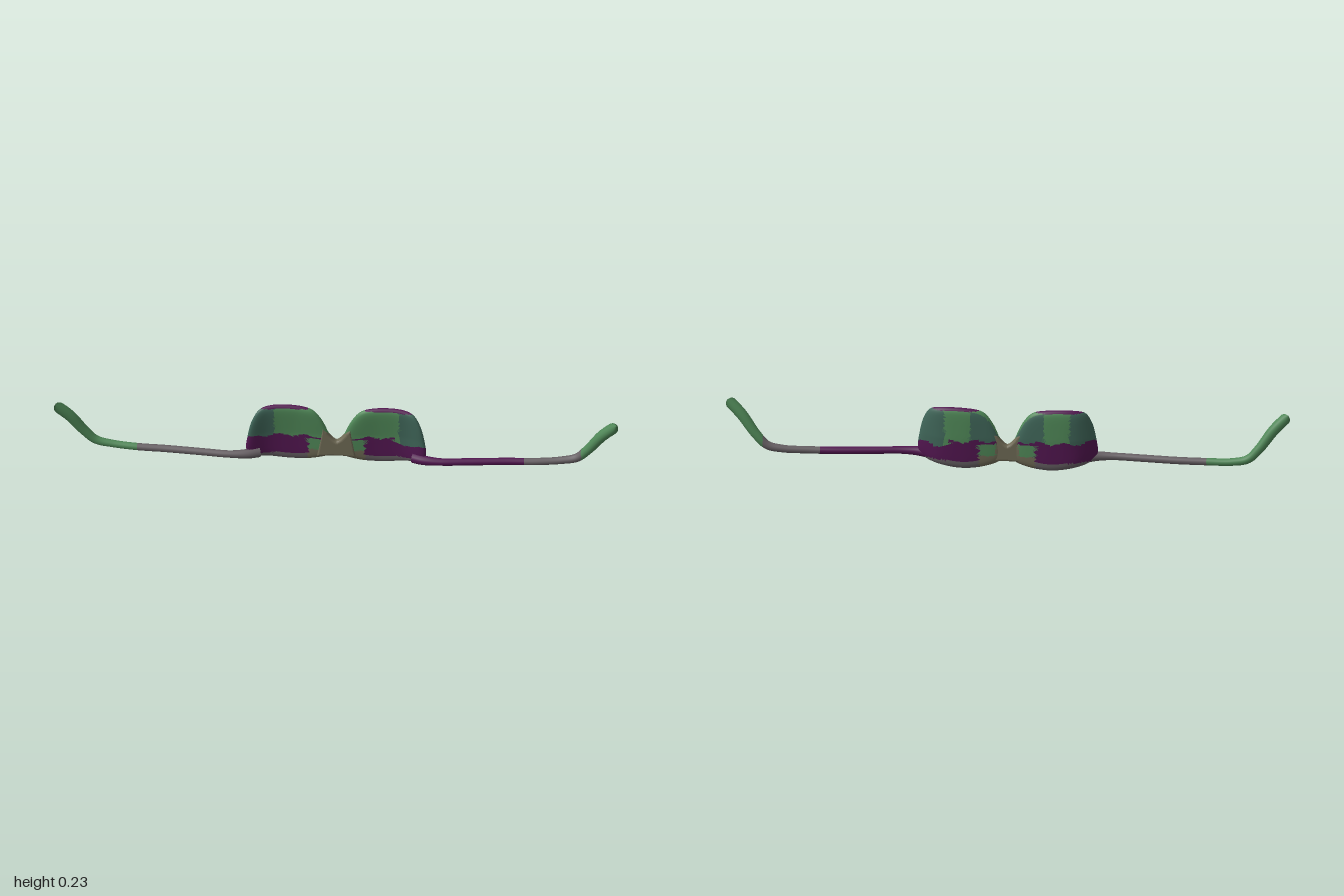
import * as THREE from 'three';

const GREEN = 0x4f8757, TEAL = 0x3f6558, PURPLE = 0x521650, GREY = 0x665f63, BROWN = 0x6f6a55;

// Split one smooth geometry into a mesh per colour, sharing its vertices and normals
function paint(name, geo, colorAt) {
  const group = new THREE.Group();
  group.name = name;
  const p = geo.attributes.position, idx = geo.index.array, parts = new Map();
  for (let i = 0; i < idx.length; i += 3) {
    const c = new THREE.Vector3();
    for (let k = 0; k < 3; k++) c.add(new THREE.Vector3().fromBufferAttribute(p, idx[i + k]));
    c.divideScalar(3);
    const col = colorAt(c);
    if (!parts.has(col)) parts.set(col, []);
    parts.get(col).push(idx[i], idx[i + 1], idx[i + 2]);
  }
  for (const [color, list] of parts) {
    const g = new THREE.BufferGeometry();
    g.setAttribute('position', p);
    g.setAttribute('normal', geo.attributes.normal);
    g.setIndex(list);
    const mesh = new THREE.Mesh(g, new THREE.MeshStandardMaterial({ color }));
    mesh.name = name + 'Patch';
    group.add(mesh);
  }
  return group;
}

// Depth of the curved front along x
const bow = new THREE.SplineCurve([[0, -0.014], [0.08, -0.021], [0.16, -0.026], [0.24, -0.019], [0.32, 0.012]]
  .map(([x, z]) => new THREE.Vector2(x, z)));
const depth = x => bow.getPoint(THREE.MathUtils.clamp(Math.abs(x) / 0.32, 0, 1)).y;

// Lens: rings scaled out from the centre on the front, then back in behind
function lens(side) {
  const outline = new THREE.CatmullRomCurve3([
    [0.022, 0.035], [0.07, 0.013], [0.15, 0.003], [0.23, 0.012], [0.295, 0.03], [0.315, 0.055], [0.31, 0.12],
    [0.295, 0.18], [0.272, 0.217], [0.235, 0.229], [0.13, 0.228], [0.085, 0.215], [0.055, 0.18], [0.03, 0.125], [0.015, 0.075],
  ].map(([x, y]) => new THREE.Vector3(x, y, 0)), true);
  const N = 96, cx = 0.17, cy = 0.11;
  const out = [0, 0.12, 0.25, 0.37, 0.5, 0.62, 0.73, 0.82, 0.88, 0.93, 0.965, 0.99, 1];
  const rings = [...out.map(r => [r, 1]), ...out.slice(0, -1).reverse().map(r => [r, -1])];
  const pos = [], idx = [];
  rings.forEach(([r, face], k) => {
    for (let j = 0; j < N; j++) {
      const q = outline.getPoint(j / N);
      const x = cx + (q.x - cx) * r, y = cy + (q.y - cy) * r;
      const half = 0.015 * Math.sqrt(1 - r ** 10);
      pos.push(side * x, y, depth(x) + 0.06 * Math.max(0, y - 0.12) + face * half);
      if (k) {
        const n = (j + 1) % N, a = (k - 1) * N + j, b = k * N + j, c = k * N + n, d = (k - 1) * N + n;
        if (side > 0) idx.push(a, b, c, a, c, d);
        else idx.push(a, c, b, a, d, c);
      }
    }
  });
  const g = new THREE.BufferGeometry();
  g.setAttribute('position', new THREE.Float32BufferAttribute(pos, 3));
  g.setIndex(idx);
  g.computeVertexNormals();
  return paint(side > 0 ? 'leftLens' : 'rightLens', g, ({ x, y, z }) => {
    const u = Math.abs(x);
    const edge = 0.11 + 0.006 * Math.sin(u * 70) - (side > 0 && u > 0.2 ? 0.02 : 0);
    if (y > 0.221) return PURPLE;
    if (u < 0.1 && y < 0.1) return y > 0.055 && u > 0.04 ? GREEN : BROWN;
    if (y < 0.035) return GREY;
    if (y < edge) return PURPLE;
    return u > 0.22 || z < depth(u) - 0.005 && u < 0.13 ? TEAL : GREEN;
  });
}

// Temple arm: a wavy tube that thickens towards its bent, rounded tip
function arm(side) {
  const path = new THREE.CatmullRomCurve3([
    [0.27, 0.042, 0.004], [0.31, 0.042, 0.018], [0.37, 0.041, 0.023], [0.47, 0.041, 0.015], [0.6, 0.041, 0.004], [0.7, 0.042, 0],
    [0.79, 0.047, -0.007], [0.845, 0.06, -0.008], [0.885, 0.1, -0.004], [0.935, 0.168, 0.007], [0.986, 0.22, 0.019],
  ].map(([x, y, z]) => new THREE.Vector3(side * x, y, z)));
  const segs = 160, sides = 14;
  const g = new THREE.TubeGeometry(path, segs, 1, sides);
  const p = g.attributes.position, v = new THREE.Vector3();
  for (let i = 0; i <= segs; i++) {
    const t = i / segs, c = path.getPointAt(t);
    let r = 0.013 + 0.007 * THREE.MathUtils.smoothstep(t, 0.6, 0.95) + 0.006 * (1 - THREE.MathUtils.smoothstep(t, 0, 0.15));
    if (t > 0.975) r *= Math.sqrt(Math.max(0, 1 - ((t - 0.975) / 0.025) ** 2));
    for (let j = 0; j <= sides; j++) {
      const k = i * (sides + 1) + j;
      v.fromBufferAttribute(p, k).sub(c).multiplyScalar(r).add(c);
      p.setXYZ(k, v.x, v.y, v.z);
    }
  }
  return paint(side > 0 ? 'leftArm' : 'rightArm', g, ({ x }) => {
    const u = Math.abs(x);
    if (side > 0) return u < 0.66 ? PURPLE : u < 0.86 ? GREY : GREEN;
    return u < 0.7 ? GREY : GREEN;
  });
}

// Bridge: rounded plate with a dip between the lenses
function bridge() {
  const s = new THREE.Shape();
  s.moveTo(-0.06, 0.036);
  s.quadraticCurveTo(0, 0.044, 0.06, 0.036);
  s.lineTo(0.046, 0.13);
  s.quadraticCurveTo(0.02, 0.085, 0, 0.082);
  s.quadraticCurveTo(-0.02, 0.085, -0.046, 0.13);
  const g = new THREE.ExtrudeGeometry(s, {
    depth: 0.01, bevelEnabled: true, bevelThickness: 0.009, bevelSize: 0.009, bevelSegments: 4, curveSegments: 12,
  });
  g.translate(0, 0, -0.02);
  const mesh = new THREE.Mesh(g, new THREE.MeshStandardMaterial({ color: BROWN }));
  mesh.name = 'bridge';
  return mesh;
}

export function createModel() {
  const model = new THREE.Group();
  model.name = 'eyeglasses';
  for (const side of [1, -1]) model.add(lens(side), arm(side));
  model.add(bridge());
  return model;
}
